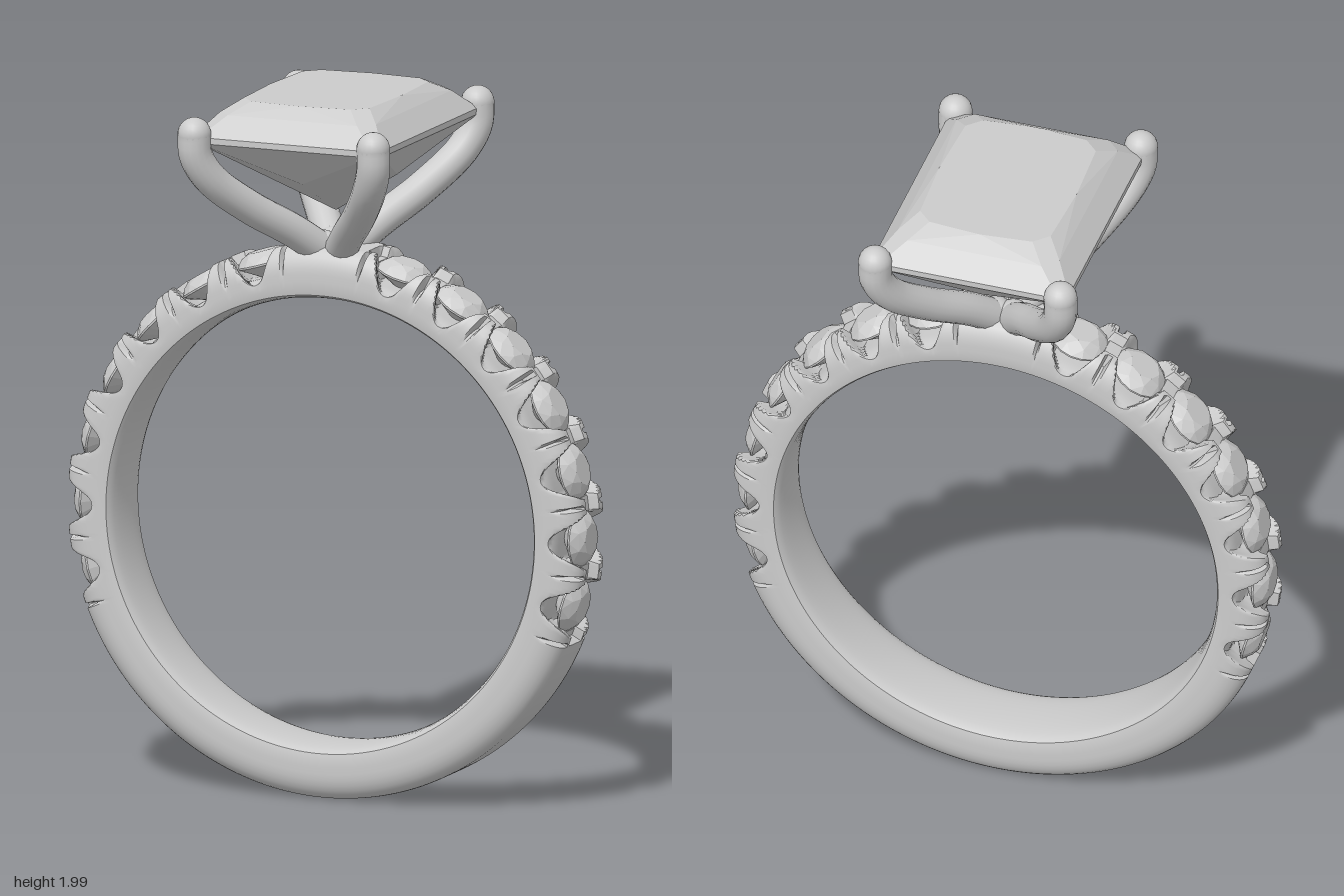
import * as THREE from 'three';
import { toCreasedNormals } from 'three/addons/utils/BufferGeometryUtils.js';
import { ConvexGeometry } from 'three/addons/geometries/ConvexGeometry.js';

const CY = 0.79;                              // centre height of the band
const R_IN = 0.63, R_SIDE = 0.665, R_OUT = 0.78, HALF_W = 0.114;
const GEMS = 7, PITCH = THREE.MathUtils.degToRad(14.7);
const material = new THREE.MeshStandardMaterial({ color: 0xcccccc, roughness: 0.6 });
const V = (x, y, z) => new THREE.Vector3(x, y, z);

function add(parent, name, geometry) {
  const mesh = new THREE.Mesh(geometry, material);
  mesh.name = name;
  parent.add(mesh);
  return mesh;
}

// Outer radius of the band: scalloped seats around each small stone, with split claws between
function outerRadius(theta, z) {
  const angle = Math.atan2(Math.sin(theta), Math.abs(Math.cos(theta)));   // fold both shoulders together
  const step = angle / PITCH + 1;
  const i = Math.round(step);
  if (i < 0 || i >= GEMS) return R_OUT;
  const s = Math.abs(step - i) * PITCH * R_OUT;
  const half = PITCH * R_OUT / 2;
  const d = Math.hypot(s, 0.6 * z);
  let r = 0.7 + 0.08 * THREE.MathUtils.smoothstep(d, 0.062, 0.084);
  if (Math.abs(z) < 0.036) r = Math.min(r, 0.752);                        // low bridge between stones
  if (Math.abs(z) > 0.058 && s > half - 0.007) r = Math.min(r, 0.74);     // slit in each claw
  return r;
}

// Closed cross-section as [z, r]: rounded outside, gently domed inside
function bandProfile() {
  const p = [];
  const cz = 0.062, cr = 0.705, n = 7;
  for (const r of [R_SIDE, 0.685]) p.push([-HALF_W, r]);
  for (let i = 0; i <= n; i++) {
    const a = (i / n) * Math.PI / 2;
    p.push([-cz - (HALF_W - cz) * Math.cos(a), cr + (R_OUT - cr) * Math.sin(a)]);
  }
  for (let i = 1; i < 14; i++) p.push([-cz + (2 * cz * i) / 14, R_OUT]);
  for (let i = n; i >= 0; i--) {
    const a = (i / n) * Math.PI / 2;
    p.push([cz + (HALF_W - cz) * Math.cos(a), cr + (R_OUT - cr) * Math.sin(a)]);
  }
  for (const r of [0.685, R_SIDE]) p.push([HALF_W, r]);
  for (let i = 1; i < 12; i++) {
    const a = (i / 12) * Math.PI;
    p.push([HALF_W * Math.cos(a), R_SIDE - (R_SIDE - R_IN) * Math.sqrt(Math.sin(a))]);
  }
  return p;
}

function bandGeometry() {
  const profile = bandProfile(), m = profile.length, rings = 686;
  const pos = [], index = [];
  for (let k = 0; k < rings; k++) {
    const t = (k / rings) * Math.PI * 2;
    profile.forEach(([z, r0], j) => {
      let r = r0;
      if (r > R_SIDE) r = R_SIDE + (r - R_SIDE) * (outerRadius(t, z) - R_SIDE) / (R_OUT - R_SIDE);
      pos.push(r * Math.cos(t), CY + r * Math.sin(t), z);
      const k2 = (k + 1) % rings, j2 = (j + 1) % m;
      const a = k * m + j, b = k2 * m + j, c = k2 * m + j2, d = k * m + j2;
      index.push(a, b, c, a, c, d);
    });
  }
  const g = new THREE.BufferGeometry();
  g.setAttribute('position', new THREE.Float32BufferAttribute(pos, 3));
  g.setIndex(index);
  return toCreasedNormals(g, 0.7);
}

// Small round stone: table, bezel ring, girdle and culet
function roundGemGeometry() {
  const pts = [V(0, -0.055, 0)];
  const ring = (n, r, y, shift) => {
    for (let i = 0; i < n; i++) {
      const a = ((i + shift) / n) * Math.PI * 2;
      pts.push(V(r * Math.cos(a), y, r * Math.sin(a)));
    }
  };
  ring(8, 0.046, 0.032, 0);
  ring(8, 0.066, 0.02, 0.5);
  ring(16, 0.084, 0, 0);
  ring(16, 0.084, -0.005, 0);
  return new ConvexGeometry(pts);
}

// Large rectangular stone with clipped corners
function centreStoneGeometry() {
  const pts = [V(0, 1.66, 0)];
  const rect = (x, z, y, clip) => {
    for (const sx of [-1, 1]) for (const sz of [-1, 1])
      pts.push(V(sx * (x - clip), y, sz * z), V(sx * x, y, sz * (z - clip)));
  };
  rect(0.285, 0.36, 1.91, 0.025);
  rect(0.285, 0.36, 1.893, 0.025);
  rect(0.235, 0.305, 1.968, 0.04);
  rect(0.19, 0.245, 2, 0.04);
  for (const s of [-1, 1]) {
    pts.push(V(0, 2, s * 0.258), V(s * 0.2, 2, 0));          // bowed table edges
    pts.push(V(0, 1.775, s * 0.235), V(s * 0.185, 1.775, 0)); // pavilion facets
  }
  return new ConvexGeometry(pts);
}

export function createModel() {
  const ring = new THREE.Group();
  ring.name = 'ring';

  add(ring, 'band', bandGeometry());

  // Stones along both shoulders
  const shoulderStones = new THREE.Group();
  shoulderStones.name = 'shoulderStones';
  ring.add(shoulderStones);
  const gem = roundGemGeometry();
  for (const side of [1, -1]) {
    for (let i = 0; i < GEMS; i++) {
      const a = (i - 1) * PITCH, r = 0.74;
      const stone = add(shoulderStones, 'shoulderStone', gem);
      stone.position.set(side * r * Math.cos(a), CY + r * Math.sin(a), 0);
      stone.rotation.z = side * (a - Math.PI / 2);
    }
  }

  add(ring, 'centreStone', centreStoneGeometry());

  // Four curved claws with rounded tips
  const claws = new THREE.Group();
  claws.name = 'claws';
  ring.add(claws);
  const tip = new THREE.SphereGeometry(0.047, 20, 14);
  for (const sx of [-1, 1]) {
    for (const sz of [-1, 1]) {
      const path = new THREE.CatmullRomCurve3([
        V(0.025, 1.55, 0.03), V(0.085, 1.617, 0.11), V(0.165, 1.695, 0.22),
        V(0.24, 1.79, 0.325), V(0.268, 1.86, 0.36), V(0.27, 1.92, 0.365),
      ].map(p => V(p.x * sx, p.y, p.z * sz)));
      add(claws, 'claw', new THREE.TubeGeometry(path, 32, 0.047, 16));
      add(claws, 'clawTip', tip).position.set(0.27 * sx, 1.92, 0.365 * sz);
      add(claws, 'clawFoot', tip).position.set(0.025 * sx, 1.56, 0.03 * sz);
    }
  }
  return ring;
}
